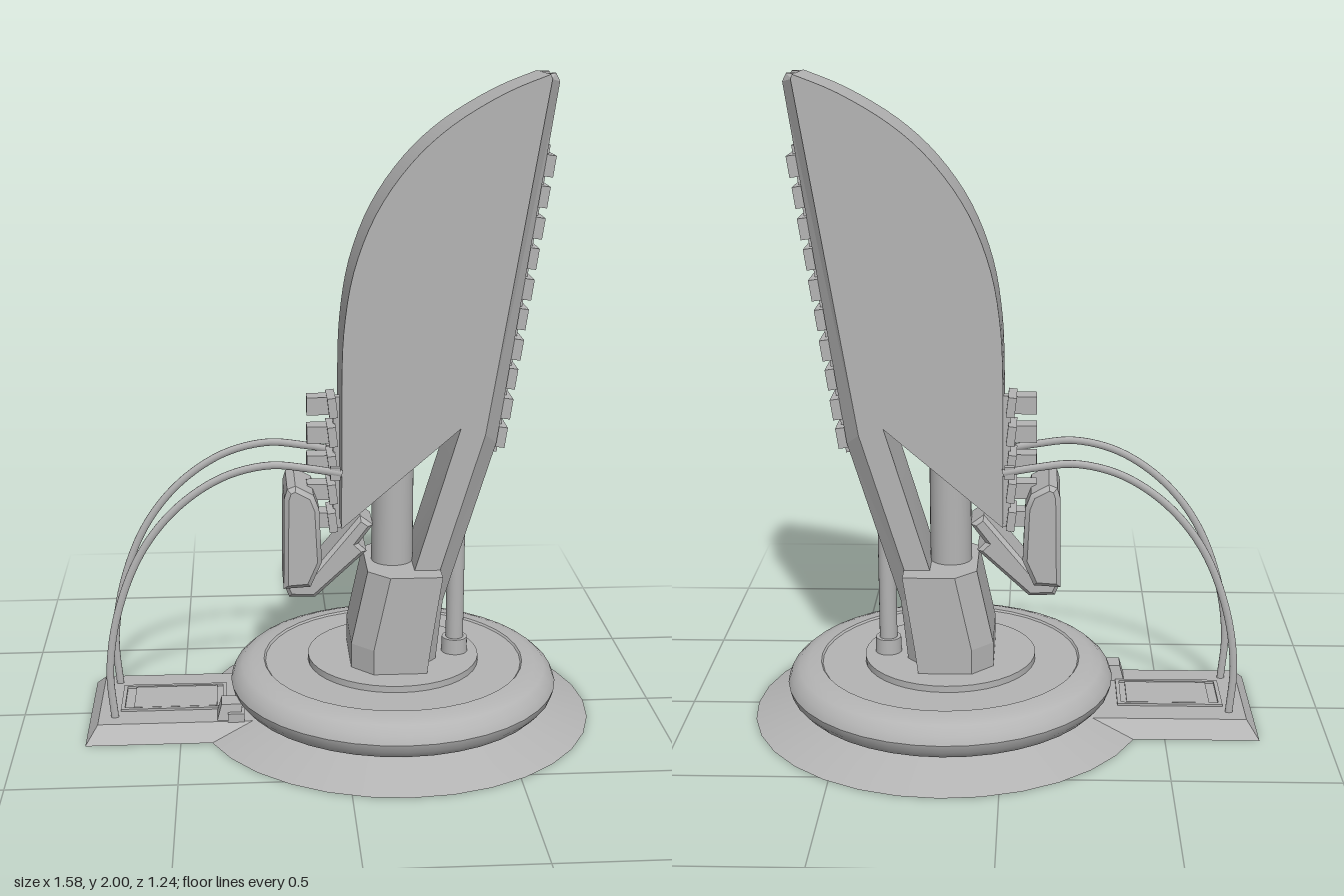
import * as THREE from 'three';
import { toCreasedNormals } from 'three/addons/utils/BufferGeometryUtils.js';

const V2 = (p) => new THREE.Vector2(p[0], p[1]);

// Closed solid through convex rings of [x, y, z] points; winding is fixed by its volume
function loft(rings) {
  const tris = [], n = rings[0].length, last = rings[rings.length - 1];
  for (let i = 0; i < rings.length - 1; i++) {
    for (let j = 0; j < n; j++) {
      const k = (j + 1) % n;
      const a = rings[i][j], b = rings[i][k], c = rings[i + 1][k], d = rings[i + 1][j];
      tris.push([a, b, c], [a, c, d]);
    }
  }
  for (let j = 1; j < n - 1; j++) {
    tris.push([rings[0][0], rings[0][j + 1], rings[0][j]], [last[0], last[j], last[j + 1]]);
  }
  let volume = 0;
  for (const [a, b, c] of tris) {
    volume += a[0] * (b[1] * c[2] - b[2] * c[1]) + a[1] * (b[2] * c[0] - b[0] * c[2])
      + a[2] * (b[0] * c[1] - b[1] * c[0]);
  }
  if (volume < 0) tris.forEach((t) => t.reverse());
  const geo = new THREE.BufferGeometry();
  geo.setAttribute('position', new THREE.Float32BufferAttribute(tris.flat(2), 3));
  geo.computeVertexNormals();
  return geo;
}

// Side profile extruded symmetrically across z
function slab(points, half, bevel = 0) {
  const geo = new THREE.ExtrudeGeometry(new THREE.Shape(points.map(V2)), {
    depth: 2 * (half - bevel), bevelEnabled: bevel > 0, bevelSize: bevel,
    bevelThickness: bevel, bevelOffset: -bevel, bevelSegments: 1,
  });
  geo.translate(0, 0, -(half - bevel));
  return toCreasedNormals(geo, 0.5);
}

const lathe = (points) => toCreasedNormals(new THREE.LatheGeometry(points.map(V2), 40), 0.5);

export function createModel() {
  const model = new THREE.Group();
  const grey = new THREE.MeshStandardMaterial({ color: 0xb4b4b4 });
  grey.name = 'grey';
  const add = (name, geo, x = 0, y = 0, z = 0, parent = model) => {
    const mesh = new THREE.Mesh(geo, grey);
    mesh.name = name;
    mesh.position.set(x, y, z);
    parent.add(mesh);
    return mesh;
  };
  const box = (name, w, h, d, x, y, z, parent) => add(name, new THREE.BoxGeometry(w, h, d), x, y, z, parent);

  // Round base, cushion ring and turntable
  const cx = 0.17;
  add('baseDisc', new THREE.CylinderGeometry(0.47, 0.62, 0.05, 32), cx, 0.025);
  add('baseRing', lathe([[0, 0.045], [0.45, 0.045], [0.485, 0.06], [0.508, 0.085], [0.515, 0.11],
    [0.505, 0.135], [0.48, 0.158], [0.45, 0.168], [0.41, 0.172], [0.405, 0.166], [0, 0.166]]), cx);
  add('turntable', new THREE.CylinderGeometry(0.27, 0.27, 0.025, 40), cx, 0.174);

  // Side platform with a framed panel
  const rect = (x0, x1, h, y) => [[x0, y, -h], [x1, y, -h], [x1, y, h], [x0, y, h]];
  add('platform', loft([rect(-0.79, -0.1, 0.235, 0), rect(-0.755, -0.1, 0.182, 0.045)]));
  const frame = (name, x0, x1, h, t) => {
    const group = new THREE.Group();
    group.name = name;
    model.add(group);
    for (const s of [-1, 1]) {
      box('frameRail', x1 - x0, 0.009, t, (x0 + x1) / 2, 0.048, s * (h - t / 2), group);
      box('frameEnd', t, 0.009, 2 * h - 2 * t, s < 0 ? x0 + t / 2 : x1 - t / 2, 0.048, 0, group);
    }
  };
  frame('outerFrame', -0.69, -0.36, 0.092, 0.012);
  box('panel', 0.26, 0.008, 0.15, -0.52, 0.047, 0);
  add('latch', loft([rect(-0.39, -0.32, 0.04, 0.04), rect(-0.375, -0.31, 0.032, 0.095)]), 0, 0, 0.135);
  box('latchFoot', 0.05, 0.03, 0.05, -0.33, 0.055, 0.16);

  // Blade with its curved front and rear leg
  const curve = new THREE.SplineCurve([[0, 1.08], [0.006, 1.25], [0.035, 1.43], [0.1, 1.6], [0.2, 1.745],
    [0.32, 1.855], [0.47, 1.945], [0.6, 1.998]].map(V2)).getPoints(28).map((p) => [p.x, p.y]);
  add('blade', slab([[0.18, 0.185], [0.255, 0.185], [0.27, 0.39], [0.435, 0.93], [0.605, 1.985],
    ...curve.reverse(), [0, 0.64], [0.36, 0.95], [0.225, 0.5]], 0.115));

  // Chamfered rear rails either side of the spine channel
  const path = [[0.255, 0.3, 0.185], [0.27, 0.32, 0.38], [0.435, 0.477, 0.89], [0.602, 0.637, 1.975], [0.6, 0.625, 1.999]];
  for (const s of [-1, 1]) {
    add(s > 0 ? 'leftRearRail' : 'rightRearRail', loft(path.map(([a, b, y], i) => {
      const w = i === 4 ? 0.09 : 0.115, inner = y + [0, 0.02, 0.04, 0.01, -0.001][i];
      return [[a, inner, s * w], [b, y, s * 0.062], [b, y, s * 0.045], [a, inner, s * 0.045]];
    })));
  }

  // Housing, column and rear rod
  add('housing', loft([[0.03, 0.26, 0.185], [0.03, 0.27, 0.265], [0.08, 0.305, 0.5]].map(([f, b, y]) => [
    [f, y, -0.115], [f + 0.065, y, -0.18], [b, y, -0.18],
    [b, y, 0.18], [f + 0.065, y, 0.18], [f, y, 0.115]])));
  add('column', new THREE.CylinderGeometry(0.065, 0.065, 0.5, 24), 0.165, 0.63);
  add('rearRod', new THREE.CylinderGeometry(0.028, 0.028, 0.7, 20), 0.367, 0.53);
  add('rodCollar', new THREE.CylinderGeometry(0.04, 0.042, 0.05, 20), 0.367, 0.21);

  // Rear spine blocks following the back edge
  const lean = Math.atan2(0.16, 1.085);
  box('spineBar', 0.03, 0.95, 0.03, 0.54, 1.32, 0).rotation.z = -lean;
  for (let i = 0; i < 10; i++) {
    const y = 0.905 + i * 0.0918, h = i % 2 ? 0.062 : 0.055;
    const block = new THREE.Group();
    block.name = 'spineBlock';
    block.position.set(0.477 + (y - 0.89) * 0.1475 + 0.012, y, 0);
    block.rotation.z = -lean;
    model.add(block);
    for (const s of [-1, 1]) {
      box('blockBar', 0.034, 0.022, 2 * h, 0, s * 0.021, 0, block);
      box('blockSide', 0.034, 0.02, h - 0.03, 0, 0, s * (h + 0.03) / 2, block);
    }
    box('blockCore', 0.024, 0.01, 0.044, 0, 0, 0, block);
  }

  // Front blocks: narrow nose on a wider back plate
  for (let i = 0; i < 5; i++) {
    const y = 1.005 - i * 0.091;
    const nose = box('frontBlock', 0.075, 0.055, 0.062, -0.064, y, 0);
    nose.scale.y = 1 - i * 0.03;
    box('frontBlockPlate', 0.026, 0.062, 0.12, -0.024, y, 0).rotation.z = 0.12;
  }
  box('frontBlockSpine', 0.025, 0.42, 0.03, -0.008, 0.82, 0);

  // Hooked arm and upright pad
  add('hookArm', slab([[-0.178, 0.45], [-0.16, 0.405], [-0.08, 0.402], [0.08, 0.55], [0.055, 0.575],
    [0.1, 0.635], [0.06, 0.665], [-0.1, 0.47]], 0.075, 0.012));
  add('hookPad', slab([[-0.178, 0.445], [-0.095, 0.45], [-0.06, 0.53], [-0.068, 0.7], [-0.085, 0.745],
    [-0.14, 0.775], [-0.165, 0.765], [-0.174, 0.735]], 0.115, 0.014));

  // Pair of arched cables
  const cable = new THREE.CatmullRomCurve3([[0, 0.82], [-0.1, 0.838], [-0.22, 0.85], [-0.36, 0.815], [-0.5, 0.72],
    [-0.61, 0.58], [-0.685, 0.39], [-0.715, 0.2], [-0.705, 0.04]].map(([x, y]) => new THREE.Vector3(x, y, 0)));
  for (const s of [-1, 1]) {
    add(s > 0 ? 'leftCable' : 'rightCable', new THREE.TubeGeometry(cable, 48, 0.012, 10), 0, 0, s * 0.128).scale.z = 0.65;
    box('cablePlug', 0.03, 0.04, 0.02, -0.02, 0.82, s * 0.124);
  }
  return model;
}
